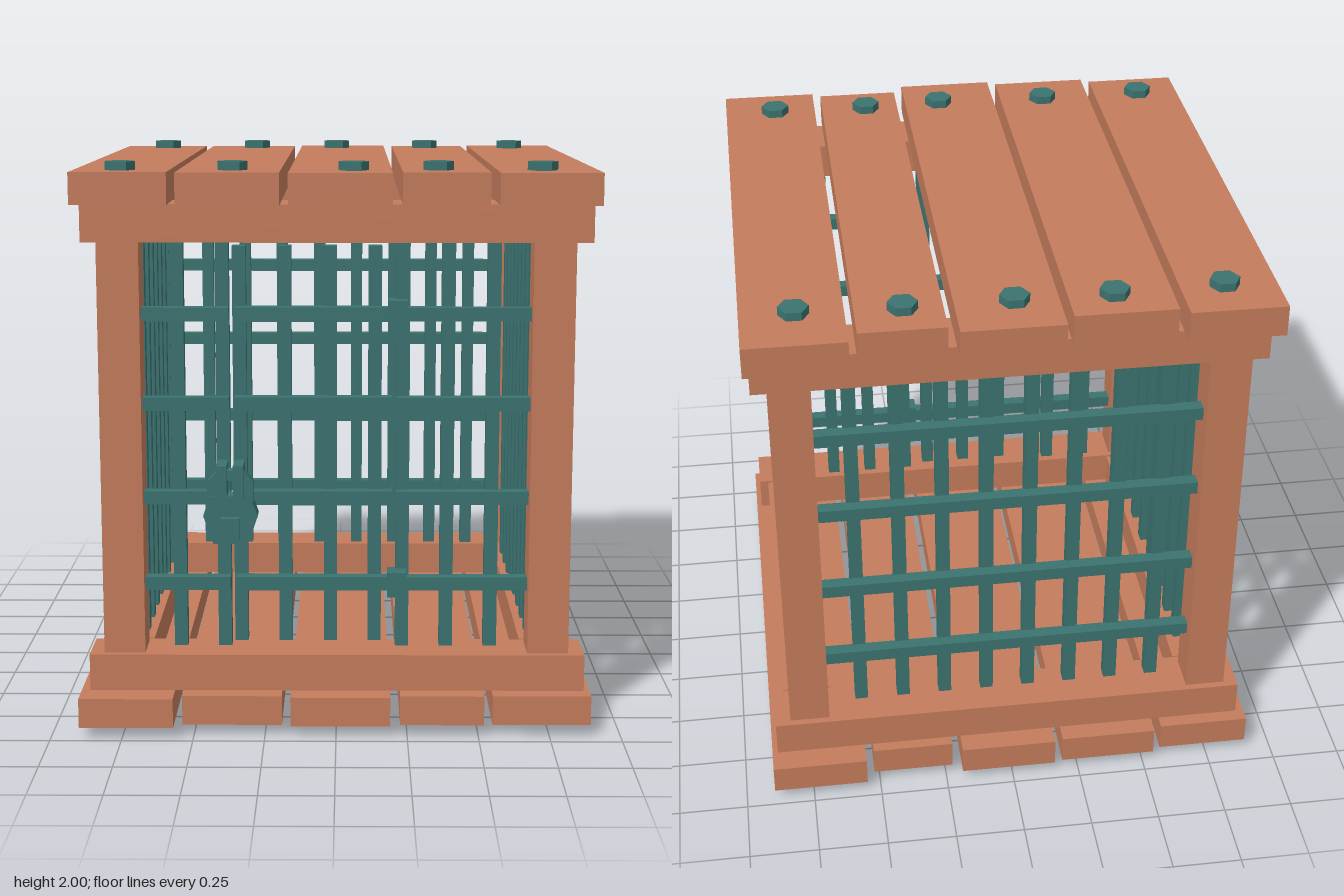
import * as THREE from 'three';

export function createModel() {
  const cage = new THREE.Group();
  cage.name = 'woodenCage';
  const wood = new THREE.MeshStandardMaterial({ color: 0xc47c5c });
  wood.name = 'wood';
  const iron = new THREE.MeshStandardMaterial({ color: 0x3b7370 });
  iron.name = 'tealIron';

  const add = (name, geo, mat, parent = cage) => {
    const m = new THREE.Mesh(geo, mat);
    m.name = name;
    parent.add(m);
    return m;
  };
  // box given by its limits on each axis
  const box = (name, x0, x1, y0, y1, z0, z1, mat, parent) => {
    const m = add(name, new THREE.BoxGeometry(x1 - x0, y1 - y0, z1 - z0), mat, parent);
    m.position.set((x0 + x1) / 2, (y0 + y1) / 2, (z0 + z1) / 2);
    return m;
  };

  // uneven planks of roof and floor
  const plankX = [[-0.9, -0.57], [-0.54, -0.19], [-0.16, 0.19], [0.225, 0.52], [0.55, 0.895]];
  const roofZ = [[-0.95, 0.92], [-0.92, 0.945], [-0.97, 0.97], [-0.935, 0.92], [-0.985, 0.945]];
  const floorZ = [[-0.93, 0.98], [-0.95, 0.945], [-0.96, 0.96], [-0.92, 0.945], [-0.97, 0.94]];
  plankX.forEach(([x0, x1], i) => {
    box('roofPlank', x0, x1, 1.86, 1.97, ...roofZ[i], wood);
    box('floorPlank', x0, x1, 0.04, 0.145, ...floorZ[i], wood);
  });

  // hexagonal bolts through both ends of each plank
  const bolts = [
    [-0.72, -0.785], [-0.345, -0.8], [-0.01, -0.8], [0.36, -0.8], [0.715, -0.785],
    [-0.74, 0.78], [-0.355, 0.775], [0.06, 0.79], [0.35, 0.775], [0.705, 0.785],
  ];
  const hex = new THREE.CylinderGeometry(0.052, 0.052, 0.05, 6).rotateY(Math.PI / 6).toNonIndexed();
  hex.computeVertexNormals();
  for (const [x, z] of bolts) {
    add('roofBolt', hex, iron).position.set(x, 1.975, z);
    add('floorBolt', hex, iron).position.set(x, 0.025, z);
  }

  // frame beams and corner posts
  for (const [y0, y1] of [[0.145, 0.275], [1.73, 1.86]]) {
    for (const s of [-1, 1]) {
      box('crossBeam', -0.87, 0.875, y0, y1, s * 0.785 - 0.095, s * 0.785 + 0.095, wood);
      box('sideBeam', s * 0.75 - 0.09, s * 0.75 + 0.09, y0, y1, -0.685, 0.68, wood);
    }
  }
  for (const sx of [-1, 1]) for (const sz of [-1, 1]) {
    box('cornerPost', sx * 0.7475 - 0.0725, sx * 0.7475 + 0.0725, 0.27, 1.735,
      sz * 0.785 - 0.07, sz * 0.785 + 0.07, wood);
  }

  // barred walls: upright bars inside, rails outside
  const r = 0.0235;
  const railY = [0.515, 0.825, 1.16, 1.475];
  const barAt = [-0.555, -0.397, -0.24, -0.082, 0.075, 0.233, 0.39, 0.548];
  for (const s of [-1, 1]) {
    for (const p of barAt) {
      box('sideBar', s * 0.71 - r, s * 0.71 + r, 0.27, 1.735, -p - r, -p + r, iron);
      if (s < 0 || p < -0.3 || p > 0.2) {
        box(s < 0 ? 'backBar' : 'frontBar', p - r, p + r, 0.27, 1.735, s * 0.743 - r, s * 0.743 + r, iron);
      }
    }
    for (const y of railY) {
      box('sideRail', s * 0.755 - r, s * 0.755 + r, y - r, y + r, -0.72, 0.72, iron);
    }
  }
  for (const y of railY) {
    box('backRail', -0.68, 0.68, y - r, y + r, -0.785 - r, -0.785 + r, iron);
    box('frontRailRight', -0.68, -0.374, y - r, y + r, 0.785 - r, 0.785 + r, iron);
    box('frontRailLeft', 0.21, 0.68, y - r, y + r, 0.785 - r, 0.785 + r, iron);
  }

  // door with its own bars, rails and hinges
  const door = new THREE.Group();
  door.name = 'door';
  cage.add(door);
  for (const x of [-0.338, -0.18, -0.021, 0.135]) {
    box('doorBar', x - r, x + r, 0.295, 1.708, 0.743 - r, 0.743 + r, iron, door);
  }
  for (const y of railY) {
    box('doorRail', -0.355, 0.195, y - 0.025, y + 0.025, 0.785 - r, 0.785 + r, iron, door);
  }
  for (const y of [0.515, 1.48]) {
    box('hinge', 0.18, 0.247, y - 0.045, y + 0.045, 0.75, 0.825, iron, door);
  }

  // padlock: faceted body, shackle, lugs and keyhole plate
  const lock = new THREE.Group();
  lock.name = 'padlock';
  lock.position.set(-0.367, 0, 0);
  cage.add(lock);
  const shapeOf = (pts) => pts.map(([x, y]) => new THREE.Vector2(x, y));
  const body = new THREE.Shape(shapeOf([
    [-0.095, 0.78], [-0.06, 0.68], [0.06, 0.68], [0.095, 0.78], [0.07, 0.85], [-0.07, 0.85],
  ]));
  add('lockBody', new THREE.ExtrudeGeometry(body, { depth: 0.075, bevelEnabled: false }), iron, lock)
    .position.z = 0.815;
  const shackle = new THREE.Shape(shapeOf([
    [-0.08, 0.83], [0.08, 0.83], [0.08, 0.9], [0.045, 0.94], [-0.045, 0.94], [-0.08, 0.9],
  ]));
  shackle.holes.push(new THREE.Path(shapeOf([
    [-0.045, 0.84], [-0.045, 0.885], [-0.025, 0.905], [0.025, 0.905], [0.045, 0.885], [0.045, 0.84],
  ])));
  add('shackle', new THREE.ExtrudeGeometry(shackle, { depth: 0.05, bevelEnabled: false }), iron, lock)
    .position.z = 0.835;
  for (const x of [-0.029, 0.029]) {
    box('lockLug', x - 0.018, x + 0.018, 0.865, 0.962, 0.8, 0.915, iron, lock);
    box('lockStrap', x - 0.018, x + 0.018, 0.84, 0.866, 0.8, 0.895, iron, lock);
  }
  box('keyholePlate', -0.033, 0.033, 0.703, 0.777, 0.885, 0.92, iron, lock);

  return cage;
}
